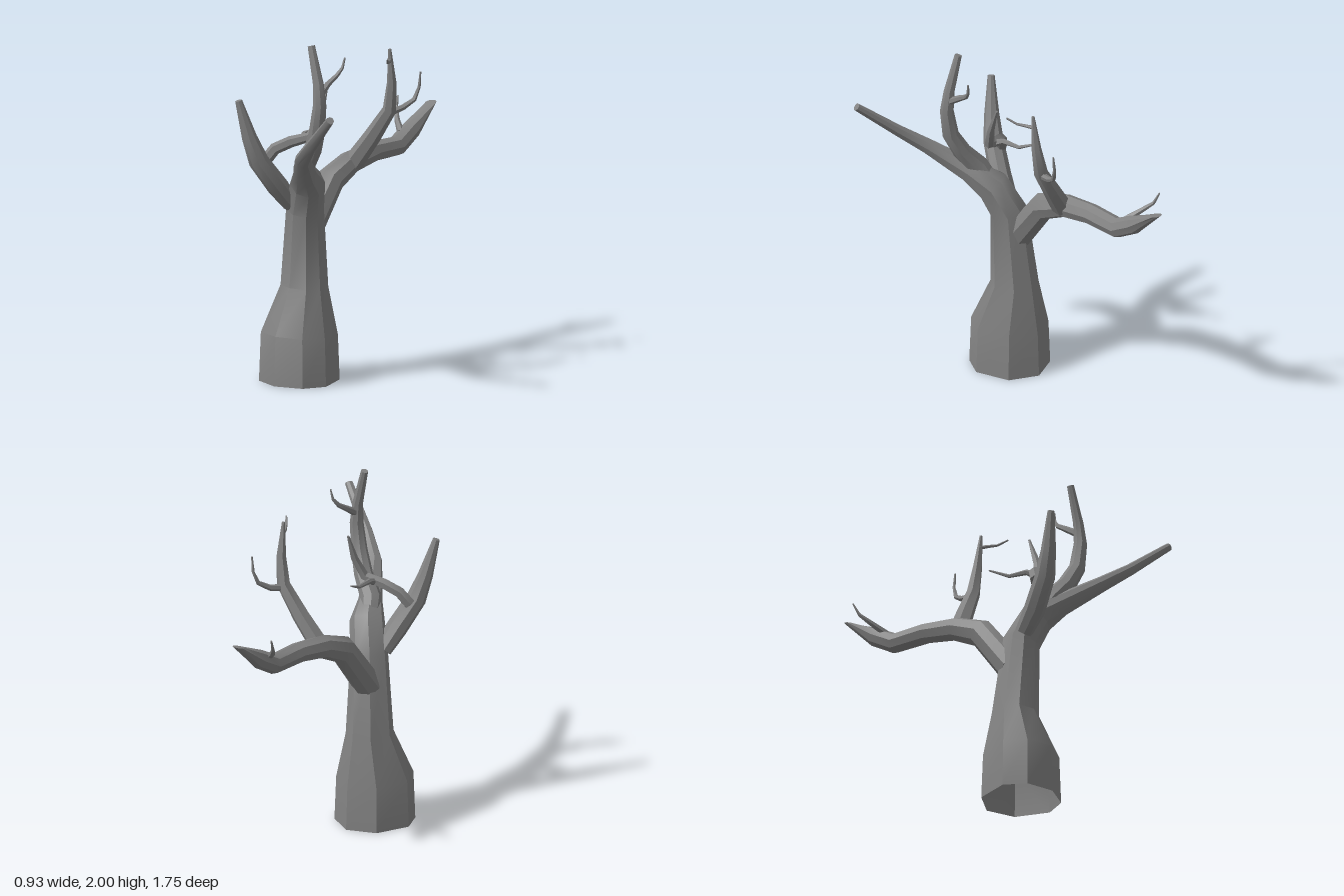
import * as THREE from 'three';
import { toCreasedNormals } from 'three/addons/utils/BufferGeometryUtils.js';

const UP = new THREE.Vector3(0, 1, 0);
const material = new THREE.MeshStandardMaterial({ color: 0x828282, side: THREE.DoubleSide });

// Skins a limb with rings along a path; each section is [x, y, z, radius].
// skew pushes the ring's side corners forward, endDir tilts the tip's cut.
function limb(name, sections, { sides = 8, skew = 0, openBase = false, endDir = null } = {}) {
  const centers = sections.map(([x, y, z]) => new THREE.Vector3(x, y, z));
  const last = centers.length - 1;
  const positions = [];
  const index = [];
  const q = new THREE.Quaternion();
  let previous = UP;

  centers.forEach((c, i) => {
    // Tangent halfway between the neighbouring segments
    let t = new THREE.Vector3();
    if (i > 0) t.add(c.clone().sub(centers[i - 1]).normalize());
    if (i < last) t.add(centers[i + 1].clone().sub(c).normalize());
    if (i === last && endDir) t = new THREE.Vector3(...endDir);
    t.normalize();
    q.premultiply(new THREE.Quaternion().setFromUnitVectors(previous, t));
    previous = t;

    const r = sections[i][3];
    for (let j = 0; j < sides; j++) {
      const a = (j / sides) * Math.PI * 2;
      const p = new THREE.Vector3(Math.sin(a), 0, Math.cos(a) + skew * Math.sin(a) ** 4);
      p.multiplyScalar(r).applyQuaternion(q).add(c);
      positions.push(p.x, p.y, p.z);
      if (i < last) {
        const k = (j + 1) % sides;
        const [A, B, C, D] = [i * sides + j, i * sides + k, (i + 1) * sides + j, (i + 1) * sides + k];
        index.push(A, B, D, A, D, C);
      }
    }
  });

  // End caps
  for (let j = 1; j < sides - 1; j++) {
    const e = last * sides;
    index.push(e, e + j, e + j + 1);
    if (!openBase) index.push(0, j + 1, j);
  }

  const geometry = new THREE.BufferGeometry();
  geometry.setAttribute('position', new THREE.Float32BufferAttribute(positions, 3));
  geometry.setIndex(index);
  const mesh = new THREE.Mesh(toCreasedNormals(geometry, 0.7), material);
  mesh.name = name;
  return mesh;
}

export function createModel() {
  const tree = new THREE.Group();
  tree.name = 'bareTree';

  // Trunk, bending over into the long front-left branch
  tree.add(limb('trunk', [
    [-0.237, 0, 0.312, 0.228], [-0.237, 0.27, 0.312, 0.218], [-0.235, 0.54, 0.275, 0.135],
    [-0.21, 0.99, 0.3, 0.107], [-0.14, 1.16, 0.36, 0.1], [-0.065, 1.24, 0.47, 0.068],
    [0.08, 1.375, 0.66, 0.045], [0.22, 1.49, 0.75, 0.034], [0.45, 1.69, 0.852, 0.023],
  ], { skew: 0.2, openBase: true }));

  // Main branches
  tree.add(limb('backBranch', [
    [-0.24, 0.83, 0.265, 0.085], [-0.24, 1.11, 0.05, 0.08], [-0.245, 1.18, -0.12, 0.068],
    [-0.25, 1.208, -0.33, 0.06], [-0.255, 1.203, -0.54, 0.058], [-0.26, 1.275, -0.67, 0.054],
    [-0.265, 1.4, -0.842, 0.035],
  ], { endDir: [0, 1, 0.25] }));
  tree.add(limb('tallBranch', [
    [-0.14, 1.17, 0.38, 0.055], [-0.1, 1.27, 0.44, 0.062], [-0.01, 1.38, 0.475, 0.054],
    [0.05, 1.5, 0.505, 0.047], [0.075, 1.66, 0.51, 0.039], [0.062, 1.78, 0.505, 0.031],
    [0, 1.995, 0.495, 0.021],
  ]));
  tree.add(limb('rightBranch', [
    [-0.265, 1.02, 0.36, 0.05], [-0.285, 1.13, 0.45, 0.062], [-0.335, 1.29, 0.56, 0.058],
    [-0.365, 1.43, 0.605, 0.043], [-0.405, 1.645, 0.652, 0.02],
  ]));

  // Secondary branches
  tree.add(limb('backUprightBranch', [
    [-0.22, 1.18, -0.12, 0.058], [-0.11, 1.34, -0.155, 0.05], [0, 1.51, -0.18, 0.04],
    [0.025, 1.67, -0.17, 0.028], [0.03, 1.87, -0.147, 0.009],
  ], { sides: 6 }));
  tree.add(limb('middleBranch', [
    [-0.34, 1.28, 0.5, 0.035], [-0.3, 1.35, 0.46, 0.034], [-0.22, 1.395, 0.415, 0.033],
    [-0.12, 1.43, 0.365, 0.029], [-0.085, 1.54, 0.32, 0.022], [-0.083, 1.69, 0.268, 0.007],
  ], { sides: 6 }));

  // Thin curved twigs: points from root to tip
  const twigs = {
    tallBranchTwig: [[0.07, 1.72, 0.5], [0.06, 1.77, 0.42], [0.07, 1.81, 0.355], [0.085, 1.85, 0.325], [0.095, 1.91, 0.315]],
    backTipTwig: [[-0.27, 1.27, -0.59], [-0.34, 1.32, -0.64], [-0.39, 1.37, -0.69], [-0.407, 1.44, -0.722]],
    lowerUprightTwig: [[-0.005, 1.49, -0.18], [0.02, 1.51, -0.27], [0.05, 1.55, -0.335], [0.065, 1.62, -0.36], [0.075, 1.71, -0.36]],
    upperUprightTwig: [[0.03, 1.8, -0.15], [0.05, 1.803, -0.11], [0.08, 1.81, -0.07], [0.12, 1.845, -0.025]],
    middleTwig: [[-0.17, 1.4, 0.39], [-0.195, 1.43, 0.33], [-0.21, 1.43, 0.22], [-0.25, 1.48, 0.11]],
  };
  for (const [name, points] of Object.entries(twigs)) {
    const root = name === 'upperUprightTwig' ? 0.011 : 0.022;
    const n = points.length - 1;
    tree.add(limb(name, points.map((p, i) => [...p, root + (0.005 - root) * (i / n)]), { sides: 6 }));
  }
  return tree;
}
